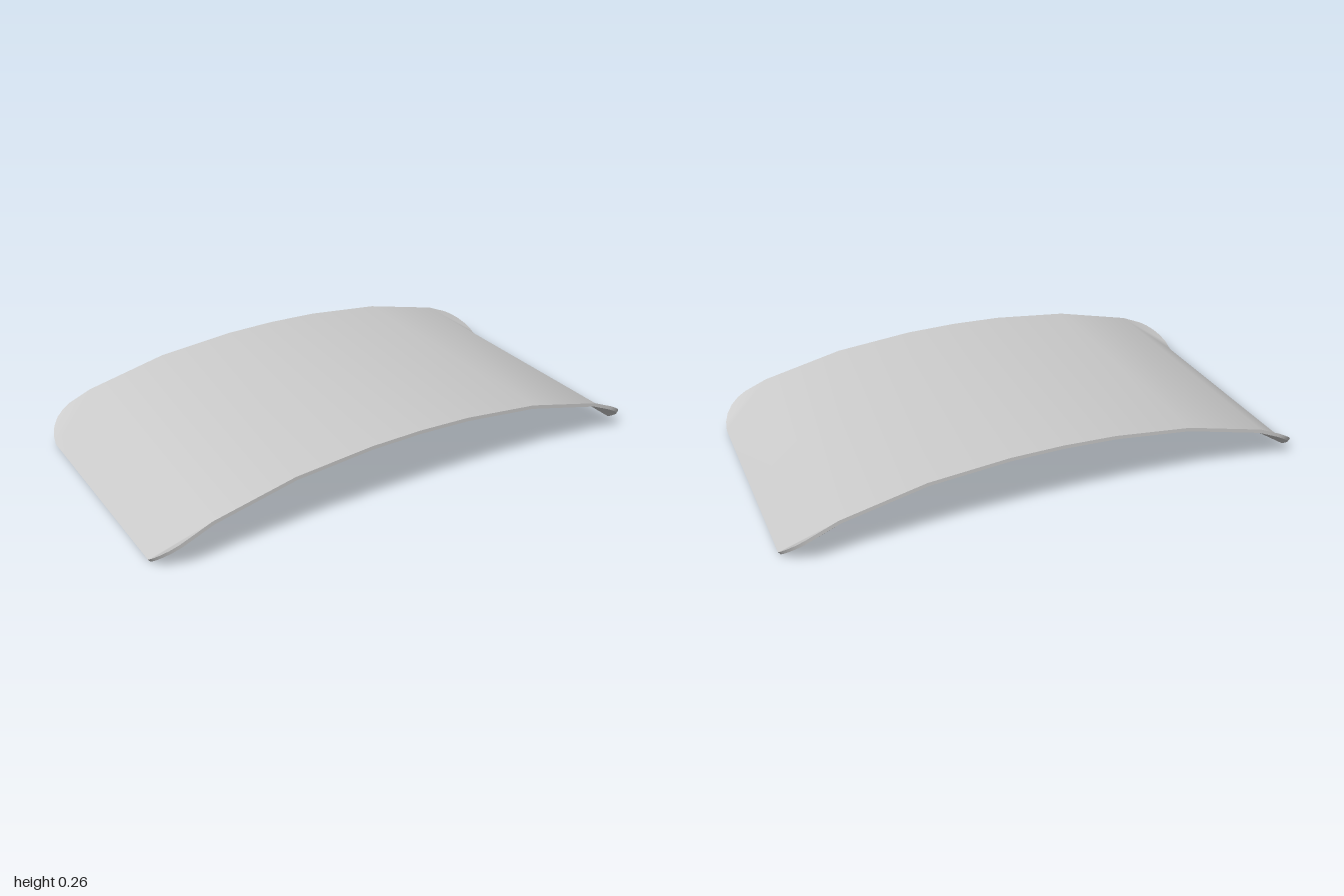
import * as THREE from 'three';
import { mergeGeometries } from 'three/addons/utils/BufferGeometryUtils.js';

const HALF_DEPTH = 0.556, RADIUS = 0.105, THICKNESS = 0.014;

// Height of the arched top surface
const archY = x => 0.012 + 0.25 * Math.pow(Math.max(0, 1 - x * x), 0.53);

// One quarter of the outline: arch columns, then the rounded corner
function quarterOutline() {
  const pts = [0, 0.2, 0.5, 0.81].map(x => [x, HALF_DEPTH]);
  for (let k = 0; k <= 5; k++) {
    const a = (k / 5) * Math.PI / 2;
    pts.push([1 - RADIUS + RADIUS * Math.sin(a), HALF_DEPTH - RADIUS + RADIUS * Math.cos(a)]);
  }
  return pts;
}

function surface(points, index) {
  const g = new THREE.BufferGeometry();
  g.setAttribute('position', new THREE.Float32BufferAttribute(points.flat(), 3));
  g.setIndex(index);
  g.computeVertexNormals();
  return g;
}

function panelGeometry() {
  // Mirror the quarter into a full loop, counter-clockwise from above
  const q = quarterOutline();
  const mirror = (pts, sx, sz) => pts.map(([x, z]) => [x * sx, z * sz]);
  const loop = [
    ...q,
    ...mirror(q, 1, -1).reverse(),
    ...mirror(q.slice(1), -1, -1),
    ...mirror(q.slice(1), -1, 1).reverse(),
  ];
  const n = loop.length;
  const top = loop.map(([x, z]) => [x, archY(x), z]);

  // Underside is offset along the arch's normal
  const bottom = top.map(([x, y, z]) => {
    const nx = 0.6 * x * Math.abs(x);
    return [x - THICKNESS * nx, Math.max(0, y - THICKNESS * Math.sqrt(1 - nx * nx)), z];
  });

  const index = [];
  const quad = (a, b, c, d) => index.push(a, b, c, a, c, d);
  const fan = (centre, from, to) => {
    for (let i = from; i < to; i++) index.push(centre, i, i + 1);
  };
  // Arched strips across the middle
  for (let i = -3; i < 3; i++) quad((i + n) % n, (i + 1 + n) % n, 18 - i, 19 - i);
  // Sloping flat ends with their corner fans
  quad(3, 9, 10, 16);
  quad(35, 22, 28, 29);
  fan(3, 4, 9);
  fan(16, 10, 15);
  fan(22, 23, 28);
  fan(35, 29, 34);

  const flipped = [];
  for (let i = 0; i < index.length; i += 3) flipped.push(index[i], index[i + 2], index[i + 1]);

  // Thin rim joining both sheets
  const rim = [];
  for (let i = 0; i < n; i++) {
    const j = (i + 1) % n;
    rim.push(n + i, n + j, j, n + i, j, i);
  }
  return mergeGeometries([
    surface(top, index),
    surface(bottom, flipped),
    surface([...top, ...bottom], rim),
  ]);
}

export function createModel() {
  const group = new THREE.Group();
  group.name = 'curvedPanel';
  const panel = new THREE.Mesh(panelGeometry(), new THREE.MeshStandardMaterial({ color: 0xcccccc }));
  panel.name = 'archedPanel';
  group.add(panel);
  return group;
}
